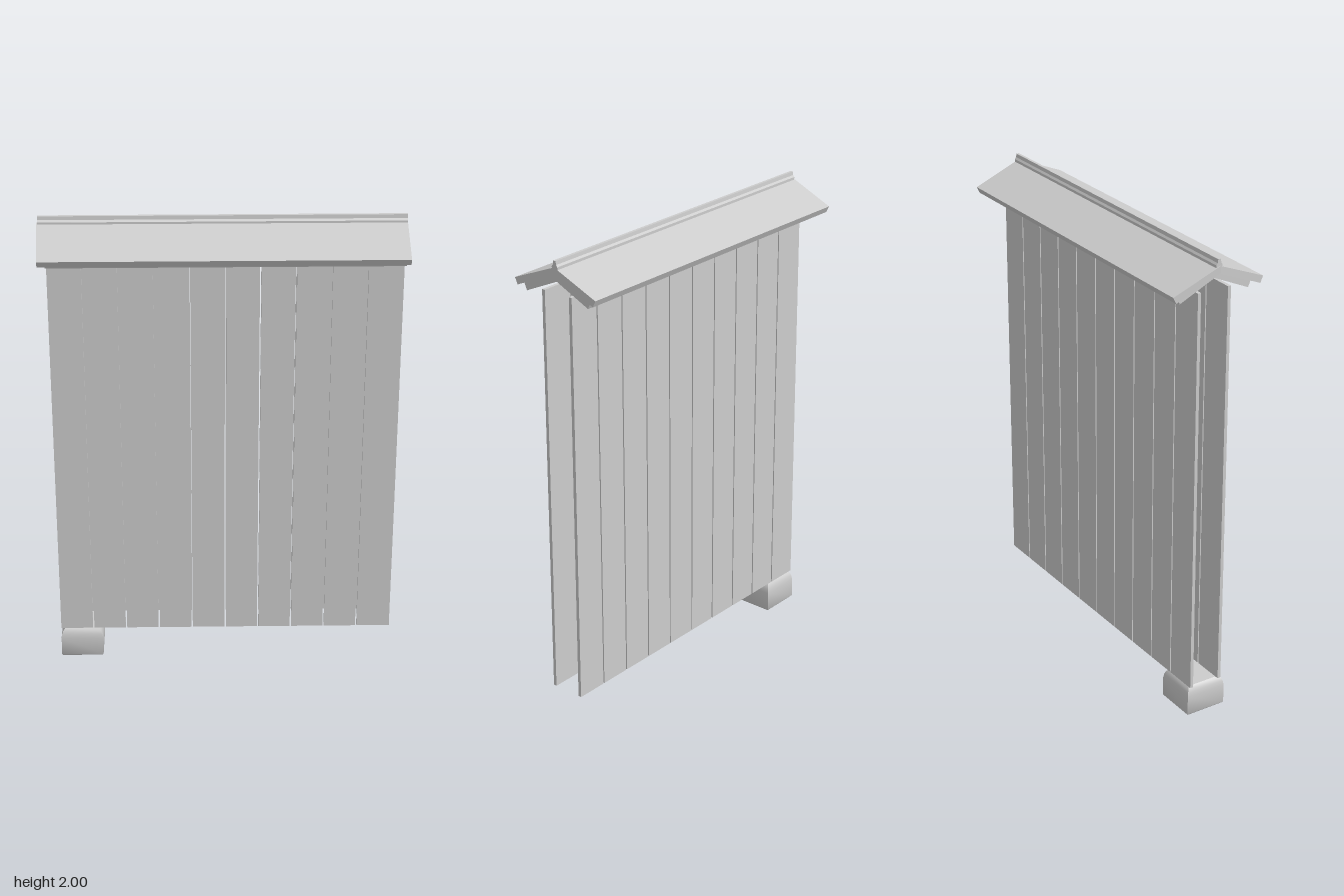
import * as THREE from 'three';
import { toCreasedNormals } from 'three/addons/utils/BufferGeometryUtils.js';

const grey = new THREE.MeshStandardMaterial({ color: 0xcccccc });
grey.name = 'pale grey';

function addMesh(parent, name, geometry) {
  const mesh = new THREE.Mesh(geometry, grey);
  mesh.name = name;
  parent.add(mesh);
  return mesh;
}

// Sweep a [z, y] outline along x, from x0 to x1
function sweepAlongX(outline, x0, x1) {
  const shape = new THREE.Shape(outline.map(([z, y]) => new THREE.Vector2(-z, y)));
  const geometry = new THREE.ExtrudeGeometry(shape, { depth: x1 - x0, bevelEnabled: false });
  return geometry.rotateY(Math.PI / 2).translate(x0, 0, 0);
}

// Gabled layer with square-cut eaves: outer and inner apex heights, eave corners
function gable(apexTop, apexBottom, [zo, yo], [zi, yi]) {
  return [[0, apexTop], [zo, yo], [zi, yi], [0, apexBottom], [-zi, yi], [-zo, yo]];
}

// One row of vertical boards; stagger keeps the two rows' gaps from lining up
function boardWall(name, z, stagger) {
  const wall = new THREE.Group();
  wall.name = name;
  const count = 10, left = -0.7, right = 0.72, gap = 0.006, bottom = 0.13, top = 1.866;
  const pitch = (right - left) / count;
  const seam = (i) => left + i * pitch + (i % 5 === 0 ? 0 : stagger);
  for (let i = 0; i < count; i++) {
    const x0 = seam(i) + (i > 0 ? gap / 2 : 0);
    const x1 = seam(i + 1) - (i < count - 1 ? gap / 2 : 0);
    const board = addMesh(wall, 'board', new THREE.BoxGeometry(x1 - x0, top - bottom, 0.014));
    board.position.set((x0 + x1) / 2, (top + bottom) / 2, z);
  }
  return wall;
}

export function createModel() {
  const model = new THREE.Group();
  model.name = 'boardFence';

  // Walls
  model.add(boardWall('frontBoards', 0.07, -0.002));
  model.add(boardWall('backBoards', -0.067, 0.002));

  // Roof: wide upper layer with a slightly bowed right end, narrower layer beneath
  const roof = new THREE.Group();
  roof.name = 'roof';
  model.add(roof);
  const upper = sweepAlongX(gable(1.973, 1.943, [0.205, 1.888], [0.192, 1.861]), -0.738, 0.733);
  const p = upper.attributes.position;
  for (let i = 0; i < p.count; i++) {
    if (p.getX(i) < 0) p.setX(i, p.getX(i) + Math.abs(p.getZ(i)) * 0.05);
  }
  upper.computeVertexNormals();
  addMesh(roof, 'upperRoof', upper);
  addMesh(roof, 'lowerRoof', sweepAlongX(
    gable(1.943, 1.913, [0.169, 1.871], [0.156, 1.842]), -0.7, 0.72));

  // Ridge cap
  const cap = addMesh(roof, 'ridgeCap', sweepAlongX([
    [-0.006, 2], [0.006, 2], [0.008, 1.985], [0.014, 1.977],
    [0.014, 1.962], [-0.014, 1.962], [-0.014, 1.977], [-0.008, 1.985],
  ], -0.733, 0.733));
  cap.position.z = -0.003;

  // Foot stone: square section with a rounded top
  const profile = [[0, 0], [0.086, 0], [0.09, 0.006], [0.09, 0.088], [0.087, 0.106],
    [0.082, 0.12], [0.074, 0.13], [0, 0.13]];
  const stone = new THREE.LatheGeometry(
    profile.map(([r, y]) => new THREE.Vector2(r * Math.SQRT2, y)), 4, Math.PI / 4);
  const foot = addMesh(model, 'footStone', toCreasedNormals(stone, 0.6));
  foot.position.set(-0.61, 0, 0.005);

  return model;
}
